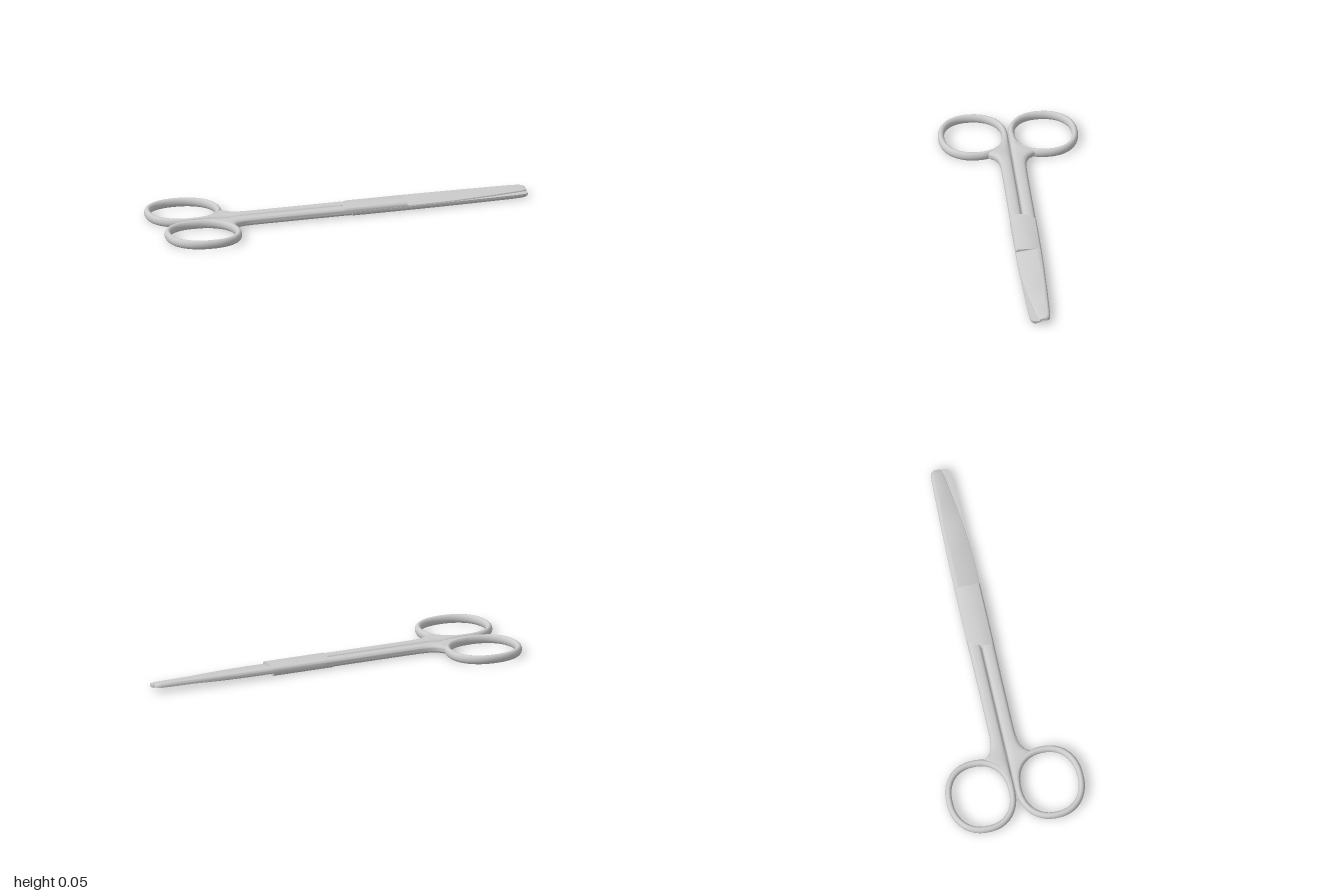
import * as THREE from 'three';
import { toCreasedNormals } from 'three/addons/utils/BufferGeometryUtils.js';

const H = 0.0235; // half the thickness
const SLANT = 0.045 / 0.068; // slope of the lap's oblique shoulder
const steel = new THREE.MeshStandardMaterial({ color: 0xcccccc });

// Skin a list of equal-length point loops running along +x, closing both ends
function loft(sections, crease = 0.6) {
  const n = sections[0].length, last = (sections.length - 1) * n, index = [];
  for (let i = 0; i < sections.length - 1; i++) {
    for (let j = 0; j < n; j++) {
      const k = (j + 1) % n;
      const a = i * n + j, b = i * n + k, c = b + n, d = a + n;
      index.push(a, b, c, a, c, d);
    }
  }
  for (let j = 1; j < n - 1; j++) {
    index.push(0, j + 1, j, last, last + j, last + j + 1);
  }
  const g = new THREE.BufferGeometry();
  g.setAttribute('position', new THREE.Float32BufferAttribute(sections.flat(2), 3));
  g.setIndex(index);
  return toCreasedNormals(g, crease);
}

const power = (v, p) => Math.sign(v) * Math.abs(v) ** p;

// Rounded shank section between z0 and z1
function shankSection(x, z0, z1, slant = 0) {
  const pts = [];
  for (let j = 0; j < 28; j++) {
    const t = (j / 28) * Math.PI * 2;
    const z = (z0 + z1) / 2 + ((z1 - z0) / 2) * power(Math.sin(t), 0.8);
    pts.push([x + slant * z, H * power(Math.cos(t), 0.8), z]);
  }
  return pts;
}

// Half-thickness section: flat mating face, rounded back, ridge, front edge
function bladeSection(x, back, front, top, ridge, edgeTop, edgeRadius, slant = 0) {
  const pts = [[back, 0]];
  const r = 0.016;
  for (let i = 0; i <= 4; i++) {
    const t = (i / 8) * Math.PI;
    pts.push([back + r * (1 - Math.cos(t)), top - Math.min(r, top * 0.8) * (1 - Math.sin(t))]);
  }
  pts.push([ridge, top]);
  for (let i = 4; i >= 0; i--) {
    const t = (i / 8) * Math.PI;
    pts.push([front - edgeRadius * (1 - Math.cos(t)), edgeTop - edgeRadius * (1 - Math.sin(t))]);
  }
  pts.push([front, 0]);
  return pts.map(([z, y]) => [x + slant * Math.max(0, -z), y, z]);
}

function createHalf() {
  const half = new THREE.Group();
  const add = (name, geometry) => {
    const mesh = new THREE.Mesh(geometry, steel);
    mesh.name = name;
    half.add(mesh);
    return mesh;
  };

  // Finger ring: squarish oval, taller than it is wide in section
  const loop = [];
  for (let i = 0; i < 48; i++) {
    const t = (i / 48) * Math.PI * 2;
    loop.push(new THREE.Vector3(
      -0.8 + 0.1835 * power(Math.cos(t), 0.9), 0, 0.182 + 0.1645 * power(Math.sin(t), 0.9)));
  }
  const ring = new THREE.TubeGeometry(new THREE.CatmullRomCurve3(loop, true), 120, 0.0165, 20, true);
  ring.scale(1, H / 0.0165, 1);
  add('fingerRing', ring);

  // Shank with a web that flares into the ring: [x, outer z]
  const shank = [
    [-0.8, 0.032], [-0.75, 0.037], [-0.71, 0.05], [-0.68, 0.068], [-0.655, 0.092], [-0.635, 0.12],
    [-0.62, 0.13], [-0.607, 0.118], [-0.595, 0.1], [-0.575, 0.084], [-0.545, 0.073],
    [-0.5, 0.067], [-0.4, 0.066], [-0.2, 0.066],
  ].map(([x, z]) => shankSection(x, 0.002, z));
  shank.push(shankSection(0, 0.002, 0.067, SLANT));
  add('shank', loft(shank));

  // Lap joint, crossing over the other half
  add('lapJoint', loft([
    bladeSection(0, -0.068, 0.067, H, 0, H, 0.016, SLANT),
    bladeSection(0.2, -0.068, 0.067, H, 0, H, 0.016),
    bladeSection(0.34, -0.068, 0.067, H, 0, H, 0.016),
  ]));

  // Blade: [x, back z, edge z, top, ridge z]
  const blade = [
    [0.335, -0.068, 0.066, H, -0.04], [0.45, -0.067, 0.066, H, -0.042],
    [0.52, -0.066, 0.064, H, -0.043], [0.6, -0.064, 0.06, H, -0.043],
    [0.7, -0.062, 0.051, H, -0.041], [0.8, -0.059, 0.039, H, -0.038],
    [0.9, -0.056, 0.025, H, -0.035], [0.965, -0.053, 0.015, 0.0225, -0.033],
    [0.985, -0.049, 0.011, 0.0205, -0.03], [0.995, -0.043, 0.008, 0.0175, -0.025],
    [1.0, -0.034, 0.004, 0.014, -0.016],
  ].map(([x, back, edge, top, ridge]) => bladeSection(x, back, edge, top, ridge, 0.0075, 0.003));
  add('blade', loft(blade));

  // Small pivot pin end
  const pin = add('pivotPin', new THREE.CylinderGeometry(0.004, 0.004, 0.004, 16));
  pin.position.set(0.19, H - 0.0015, -0.022);
  return half;
}

export function createModel() {
  const model = new THREE.Group();
  model.name = 'scissors';
  // The two halves are the same piece, turned over about the long axis
  ['upperHalf', 'lowerHalf'].forEach((name, i) => {
    const half = createHalf();
    half.name = name;
    half.rotation.x = i * Math.PI;
    half.position.y = H;
    model.add(half);
  });
  return model;
}
